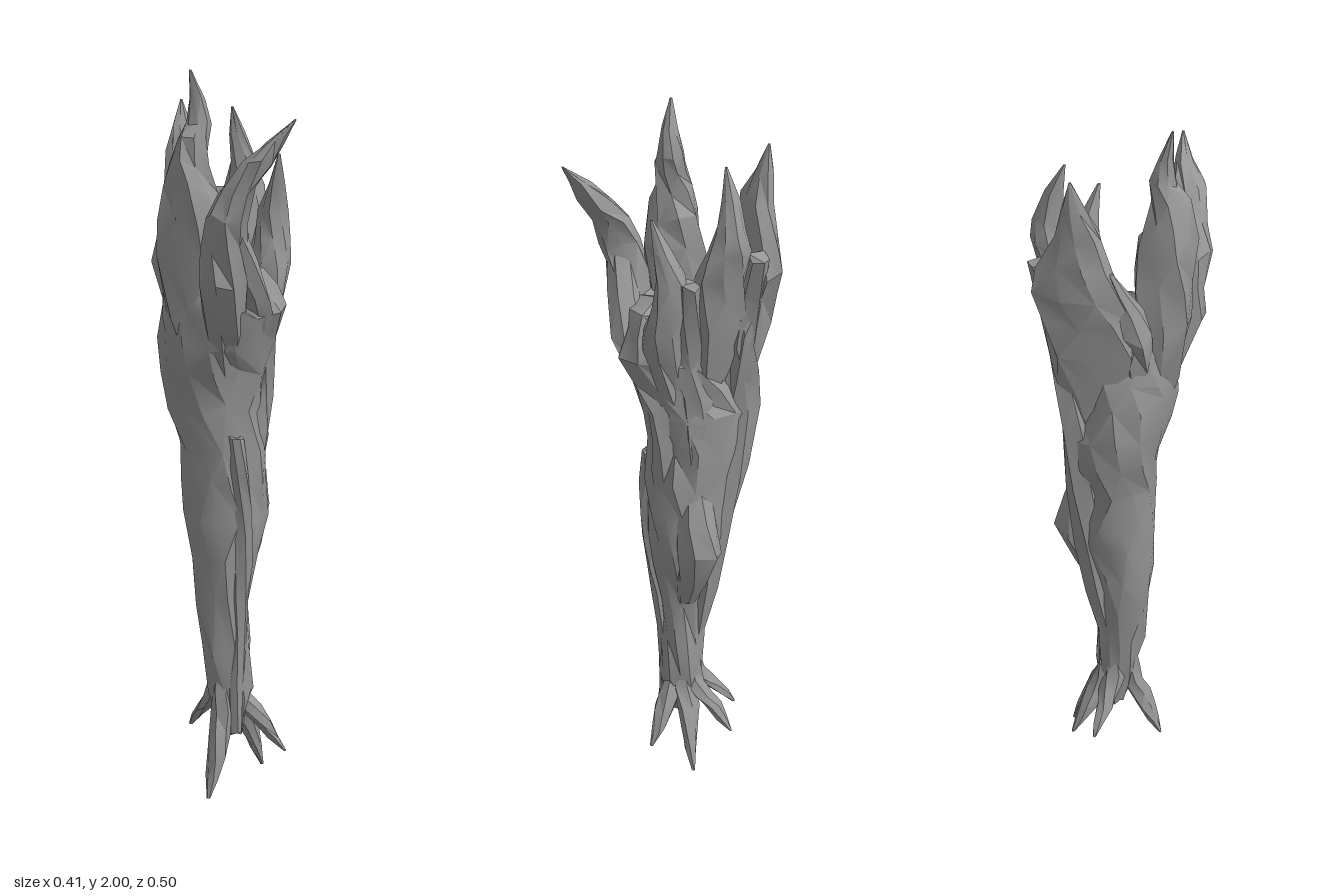
import * as THREE from 'three';
import { toCreasedNormals } from 'three/addons/utils/BufferGeometryUtils.js';

const bark = new THREE.MeshStandardMaterial({ color: 0x969696 });

// Repeatable roughness in -1..1
function rough(a, b) {
  const s = Math.sin(a * 127.1 + b * 311.7) * 43758.5453;
  return (s - Math.floor(s)) * 2 - 1;
}

// Lofts a closed, gnarled limb along a curve through points [x, y, z, rx, rz], listed upwards
function limb(name, points, { sides = 8, rings = 8, gnarl = 0.12, ridge = 0.05, twist = 0.25, seed = 1 }) {
  const path = new THREE.CatmullRomCurve3(points.map(([x, y, z]) => new THREE.Vector3(x, y, z)));
  const size = new THREE.CatmullRomCurve3(points.map(([, , , rx, rz = rx]) => new THREE.Vector3(rx, rz, 0)));
  const pos = [], index = [];
  for (let i = 0; i < rings; i++) {
    const p = path.getPoint(i / (rings - 1)), r = size.getPoint(i / (rings - 1));
    const bump = 0.12 * Math.min(r.x, r.y, 0.07);
    for (let j = 0; j < sides; j++) {
      const a = (j / sides) * Math.PI * 2 + i * twist;
      const k = 1 + gnarl * rough(i + seed * 7, j) + ridge * (j % 2 ? -1 : 1);
      pos.push(
        p.x + Math.cos(a) * r.x * k + bump * rough(i, seed),
        p.y + 2.5 * bump * rough(j + seed, i + 9),
        p.z + Math.sin(a) * r.y * k + bump * rough(seed, i));
    }
  }
  for (let i = 0; i < rings - 1; i++) {
    for (let j = 0; j < sides; j++) {
      const n = (j + 1) % sides;
      const a = i * sides + j, b = i * sides + n, c = a + sides, d = b + sides;
      if ((i + j) % 2) index.push(a, c, b, b, c, d);
      else index.push(a, c, d, a, d, b);
    }
  }
  // End caps
  const last = (rings - 1) * sides;
  for (let j = 1; j < sides - 1; j++) {
    index.push(0, j, j + 1, last, last + j + 1, last + j);
  }
  const g = new THREE.BufferGeometry();
  g.setAttribute('position', new THREE.Float32BufferAttribute(pos, 3));
  g.setIndex(index);
  const mesh = new THREE.Mesh(toCreasedNormals(g, 0.5), bark);
  mesh.name = name;
  return mesh;
}

export function createModel() {
  const model = new THREE.Group();
  model.name = 'gnarledTrunk';

  // Trunk, narrow at the foot, swelling up to a shallow crown between the prongs
  model.add(limb('trunk', [
    [0.025, 0.16, -0.03, 0.035],
    [0.015, 0.3, -0.025, 0.062],
    [0, 0.57, -0.03, 0.078, 0.07],
    [0.02, 0.81, -0.035, 0.115],
    [0.015, 1.02, -0.045, 0.115, 0.125],
    [0.005, 1.22, -0.08, 0.137, 0.147],
    [-0.02, 1.39, -0.025, 0.145, 0.165],
    [0, 1.5, -0.04, 0.12, 0.13],
    [0.02, 1.51, -0.05, 0.03],
  ], { sides: 13, rings: 17, gnarl: 0.08, ridge: 0, twist: 0.2, seed: 3 }));

  // Prongs around the crown, each rooted inside the trunk and ending in a point
  const prongs = {
    leaningProng: [[-0.04, 1.2, 0, 0.04], [-0.13, 1.47, 0.065, 0.06], [-0.145, 1.64, 0.085, 0.052],
      [-0.115, 1.77, 0.16, 0.042], [-0.08, 1.88, 0.25, 0.003]],
    tallProng: [[-0.05, 1.2, -0.04, 0.05], [-0.12, 1.5, -0.06, 0.07, 0.085], [-0.115, 1.68, -0.05, 0.074],
      [-0.13, 1.8, -0.04, 0.052, 0.045], [-0.1, 1.88, -0.03, 0.032], [-0.125, 2, -0.04, 0.003]],
    backProng: [[0.03, 1.15, -0.12, 0.05], [0.045, 1.48, -0.17, 0.12, 0.06], [0.065, 1.63, -0.19, 0.115, 0.055],
      [0.05, 1.79, -0.205, 0.06, 0.04], [0.065, 1.93, -0.22, 0.003]],
    backStub: [[-0.03, 1.25, -0.1, 0.04], [-0.06, 1.52, -0.145, 0.055], [-0.02, 1.7, -0.195, 0.005]],
    sideProng: [[0.05, 1.2, -0.06, 0.045], [0.115, 1.5, -0.07, 0.048, 0.075], [0.145, 1.65, -0.08, 0.05, 0.07],
      [0.165, 1.77, -0.09, 0.04], [0.12, 1.91, -0.09, 0.003]],
    frontProng: [[0.05, 1.15, 0, 0.035], [0.09, 1.45, 0.055, 0.047, 0.055], [0.125, 1.61, 0.045, 0.043],
      [0.09, 1.79, 0.085, 0.004]],
  };
  Object.entries(prongs).forEach(([name, points], i) =>
    model.add(limb(name, points, { rings: points.length + 4, seed: i + 11 })));

  // Woody strands winding up the trunk
  const strands = [
    [[-0.01, 0.18, 0.015, 0.02], [-0.01, 0.55, 0.028, 0.025], [-0.028, 0.8, 0.055, 0.028], [-0.05, 1.05, 0.05, 0.022]],
    [[0.02, 0.82, 0.04, 0.025], [0.055, 1.05, 0.04, 0.037], [0.055, 1.24, 0.045, 0.043],
      [-0.04, 1.42, 0.11, 0.046], [-0.14, 1.64, 0.08, 0.035]],
    [[0.04, 0.45, -0.06, 0.025], [0.07, 0.82, -0.1, 0.045], [0.08, 1.22, -0.17, 0.047],
      [0.11, 1.45, -0.14, 0.045], [0.165, 1.69, -0.16, 0.028]],
    [[0.06, 0.85, 0, 0.03], [0.1, 1.18, -0.03, 0.045], [0.1, 1.4, -0.01, 0.042], [0.155, 1.64, 0.01, 0.027]],
  ];
  strands.forEach((points, i) =>
    model.add(limb('strand', points, { sides: 6, rings: 9, seed: i + 31 })));

  // Knot on the side of the trunk
  model.add(limb('knot', [
    [0.05, 0.58, -0.02, 0.025],
    [0.115, 0.81, -0.03, 0.065],
    [0.08, 1.02, -0.04, 0.037],
  ], { sides: 7, rings: 5, seed: 51 }));

  // Splayed roots: tip and the point where each leaves the trunk
  const roots = [
    [[-0.115, 0.01, 0], [-0.025, 0.24, -0.015]],
    [[0.16, 0.005, -0.01], [0.05, 0.26, -0.02]],
    [[0.11, 0.1, 0.105], [0.03, 0.28, 0]],
    [[0.04, 0.13, -0.185], [0.015, 0.29, -0.055]],
    [[0.12, 0.09, -0.145], [0.045, 0.27, -0.05]],
  ];
  roots.forEach(([tip, start], i) => {
    const middle = tip.map((v, n) => (v + start[n]) / 2);
    const top = [start[0] * 0.8, start[1] + 0.14, start[2]];
    model.add(limb('root', [[...tip, 0.005], [...middle, 0.029], [...start, 0.034], [...top, 0.022]],
      { sides: 6, rings: 7, seed: i + 71 }));
  });

  return model;
}
